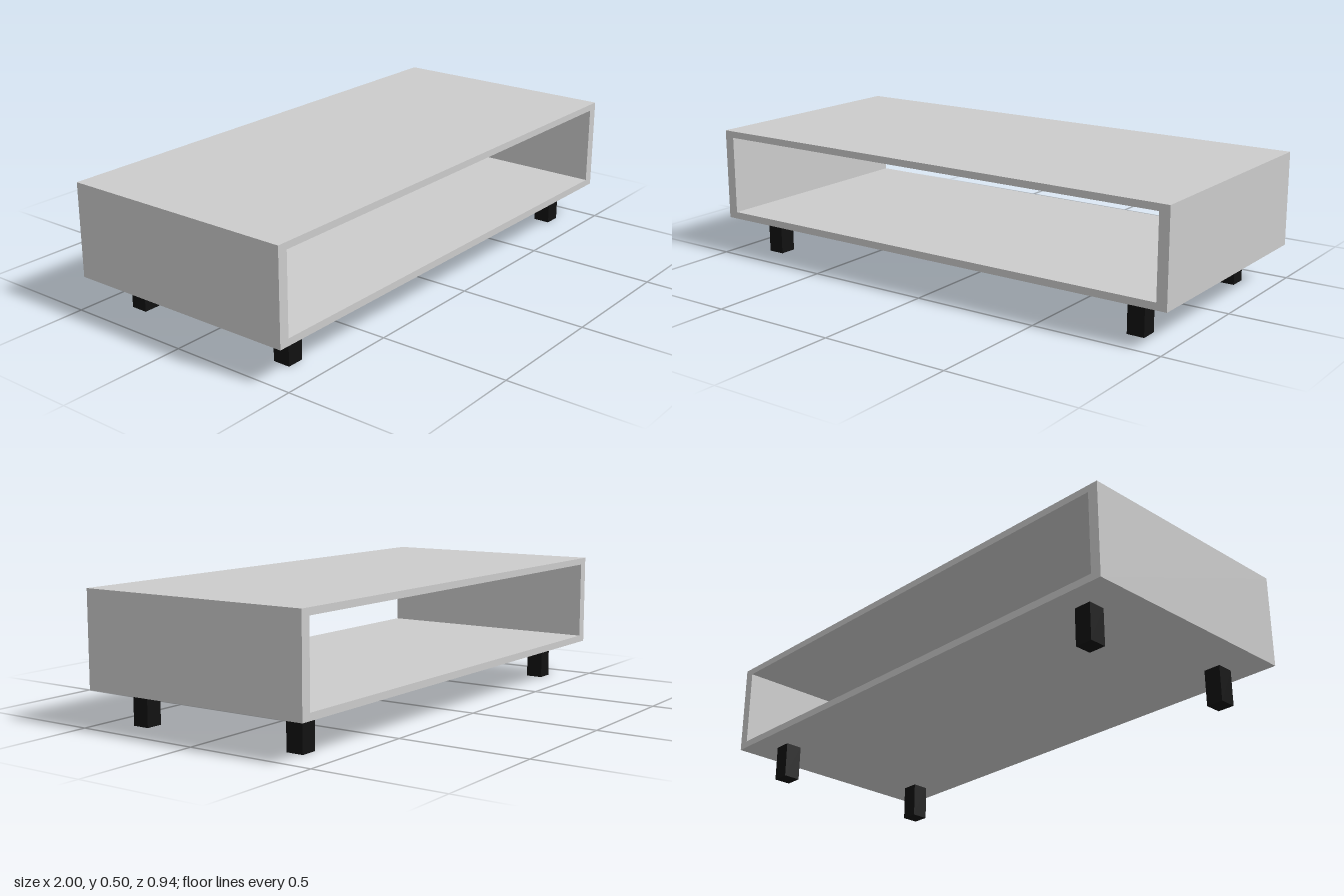
import * as THREE from 'three';

export function createModel() {
  const group = new THREE.Group();
  const grey = new THREE.MeshStandardMaterial({ color: 0xcccccc, flatShading: true });
  const black = new THREE.MeshStandardMaterial({ color: 0x111111, flatShading: true });

  // Rectangular outline, wound counter-clockwise
  const rect = (PathType, halfWidth, bottom, top) => {
    const path = new PathType();
    path.moveTo(-halfWidth, bottom);
    path.lineTo(halfWidth, bottom);
    path.lineTo(halfWidth, top);
    path.lineTo(-halfWidth, top);
    path.closePath();
    return path;
  };

  // Hollow body, open at the front and the back
  const depth = 0.936;
  const outline = rect(THREE.Shape, 1, 0.14, 0.5);
  outline.holes.push(rect(THREE.Path, 0.96, 0.167, 0.474));
  const bodyGeometry = new THREE.ExtrudeGeometry(outline, { depth, bevelEnabled: false });
  bodyGeometry.translate(0, 0, -depth / 2);
  const body = new THREE.Mesh(bodyGeometry, grey);
  body.name = 'body';
  group.add(body);

  // Four square legs, set slightly off centre
  const legGeometry = new THREE.BoxGeometry(0.067, 0.14, 0.067);
  for (const [side, x] of [['Left', 0.84], ['Right', -0.832]]) {
    for (const [end, z] of [['front', 0.35], ['back', -0.338]]) {
      const leg = new THREE.Mesh(legGeometry, black);
      leg.name = `${end}${side}Leg`;
      leg.position.set(x, 0.07, z);
      group.add(leg);
    }
  }

  return group;
}
